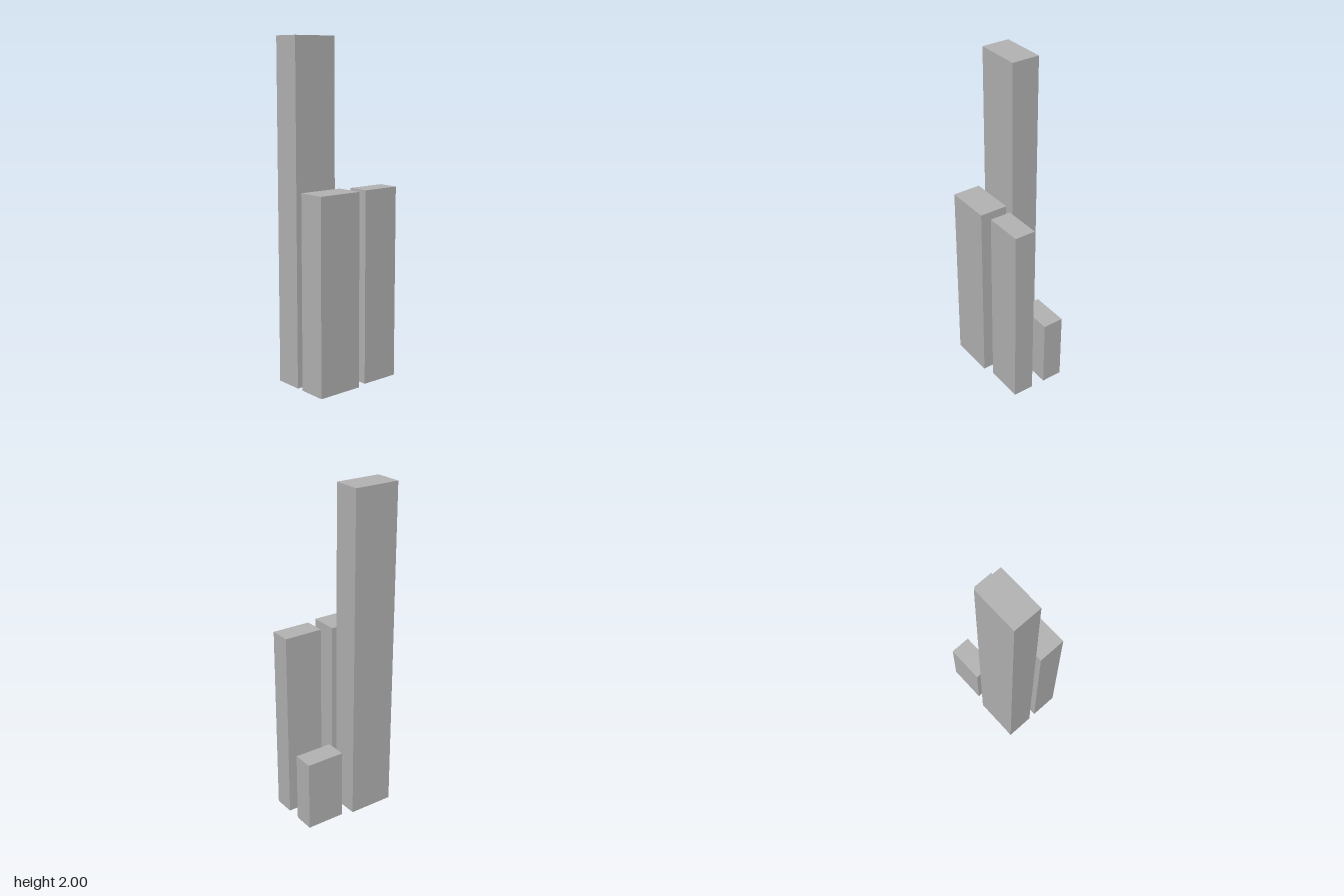
import * as THREE from 'three';

const grey = new THREE.MeshStandardMaterial({ color: 0xb2b2b2 });
grey.name = 'grey';

// Upright block standing on the ground, centred on (x, z)
function block(name, width, height, depth, x, z) {
  const mesh = new THREE.Mesh(new THREE.BoxGeometry(width, height, depth), grey);
  mesh.name = name;
  mesh.position.set(x, height / 2, z);
  return mesh;
}

export function createModel() {
  const model = new THREE.Group();
  model.name = 'towerBlocks';
  // Wide pair on the right, narrow pair on the left
  model.add(
    block('tallBackTower', 0.279, 2, 0.17, -0.151, -0.108),
    block('wideFrontTower', 0.279, 1.143, 0.17, -0.151, 0.106),
    block('narrowFrontTower', 0.236, 1.143, 0.128, 0.171, 0.106),
    block('shortBackTower', 0.236, 0.429, 0.128, 0.171, -0.108)
  );
  return model;
}
